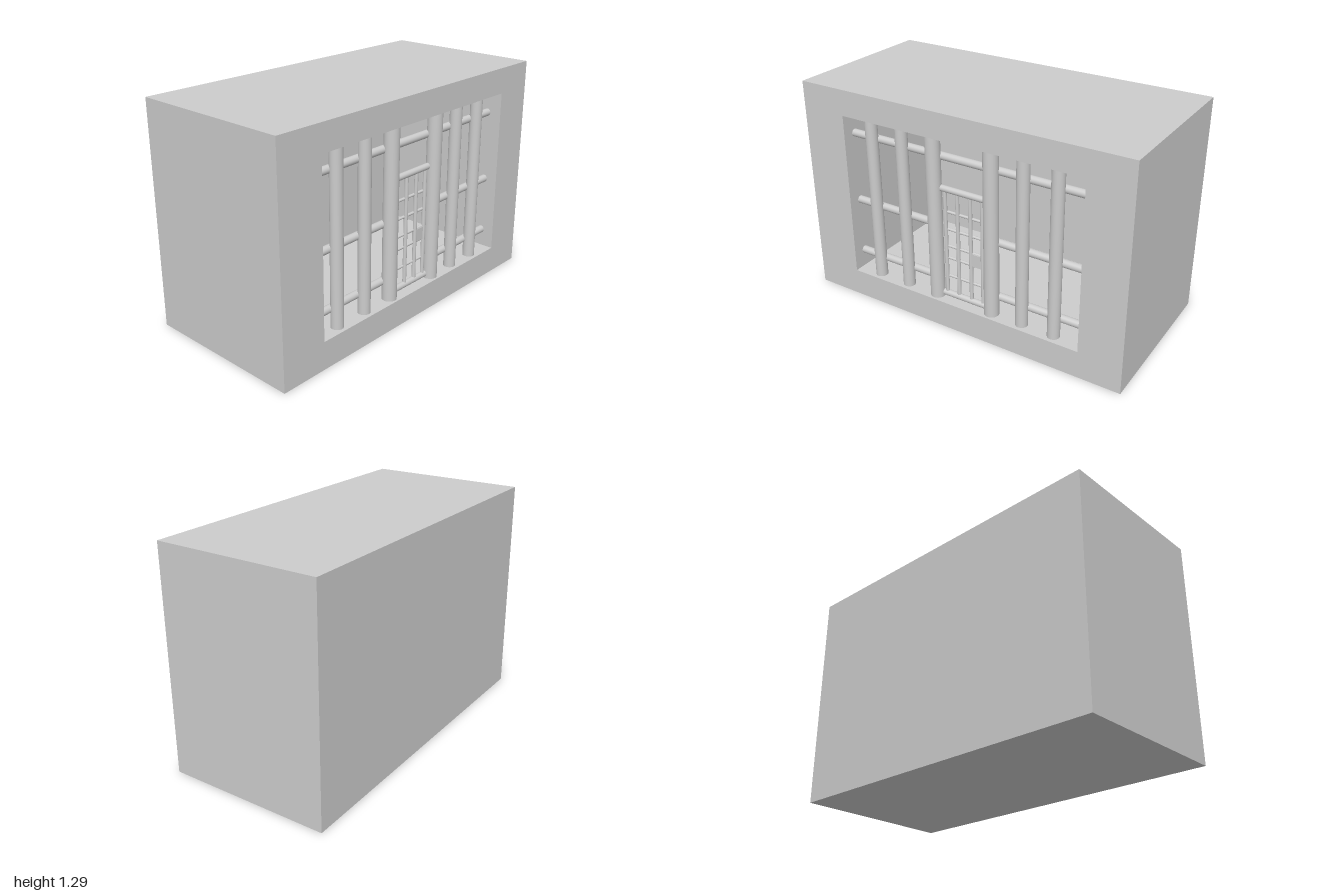
import * as THREE from 'three';

const material = new THREE.MeshStandardMaterial({ color: 0xcccccc });

function add(parent, name, geometry, x, y, z) {
  const mesh = new THREE.Mesh(geometry, material);
  mesh.name = name;
  mesh.position.set(x, y, z);
  parent.add(mesh);
  return mesh;
}

// Upright round bar from y0 to y1
function upright(parent, name, x, z, y0, y1, r) {
  add(parent, name, new THREE.CylinderGeometry(r, r, y1 - y0, 24), x, (y0 + y1) / 2, z);
}

// Level round bar running along z
function crossbar(parent, name, x, y, z0, z1, r) {
  add(parent, name, new THREE.CylinderGeometry(r, r, Math.abs(z1 - z0), 24), x, y, (z0 + z1) / 2)
    .rotation.x = Math.PI / 2;
}

export function createModel() {
  const model = new THREE.Group();
  const W = 0.475, H = 1.29, back = -0.3;
  const zMin = -0.75, zMax = 0.725, yMin = 0.16, yMax = 1.14;

  // Walls, floor and ceiling: a rectangle with an opening, extruded along x
  const outline = new THREE.Shape([[-1, 0], [1, 0], [1, H], [-1, H]].map(p => new THREE.Vector2(...p)));
  // Shape x becomes -z after the turn below
  outline.holes.push(new THREE.Path(
    [[-zMax, yMin], [-zMax, yMax], [-zMin, yMax], [-zMin, yMin]].map(p => new THREE.Vector2(...p))));
  const shell = new THREE.ExtrudeGeometry(outline, { depth: W - back, bevelEnabled: false });
  shell.rotateY(Math.PI / 2);
  add(model, 'cellWalls', shell, back, 0, 0);
  add(model, 'backWall', new THREE.BoxGeometry(W + back, H, 2), (back - W) / 2, H / 2, 0);

  // Main bars
  const bars = new THREE.Group();
  bars.name = 'cellBars';
  model.add(bars);
  for (const z of [0.575, 0.37, -0.385, -0.58]) upright(bars, 'uprightBar', 0.42, z, yMin, yMax, 0.035);
  for (const z of [0.165, -0.195]) upright(bars, 'doorPost', 0.42, z, yMin, yMax, 0.042);
  crossbar(bars, 'topCrossbar', 0.39, 1.015, zMax, -0.742, 0.022);
  for (const y of [0.6, 0.265]) {
    crossbar(bars, 'leftCrossbar', 0.39, y, zMax, 0.165, 0.022);
    crossbar(bars, 'rightCrossbar', 0.39, y, -0.195, zMin, 0.022);
  }

  // Barred door
  const door = new THREE.Group();
  door.name = 'door';
  model.add(door);
  for (const y of [0.838, 0.187]) crossbar(door, 'doorRail', 0.41, y, 0.135, -0.165, 0.018);
  for (const z of [0.103, 0.024, -0.058, -0.134]) upright(door, 'doorBar', 0.41, z, 0.19, 0.835, 0.011);
  for (const y of [0.7, 0.594, 0.49, 0.415, 0.3]) crossbar(door, 'doorCrossbar', 0.403, y, 0.103, -0.134, 0.008);
  add(door, 'lock', new THREE.BoxGeometry(0.03, 0.075, 0.06), 0.4, 0.452, -0.096);

  return model;
}
